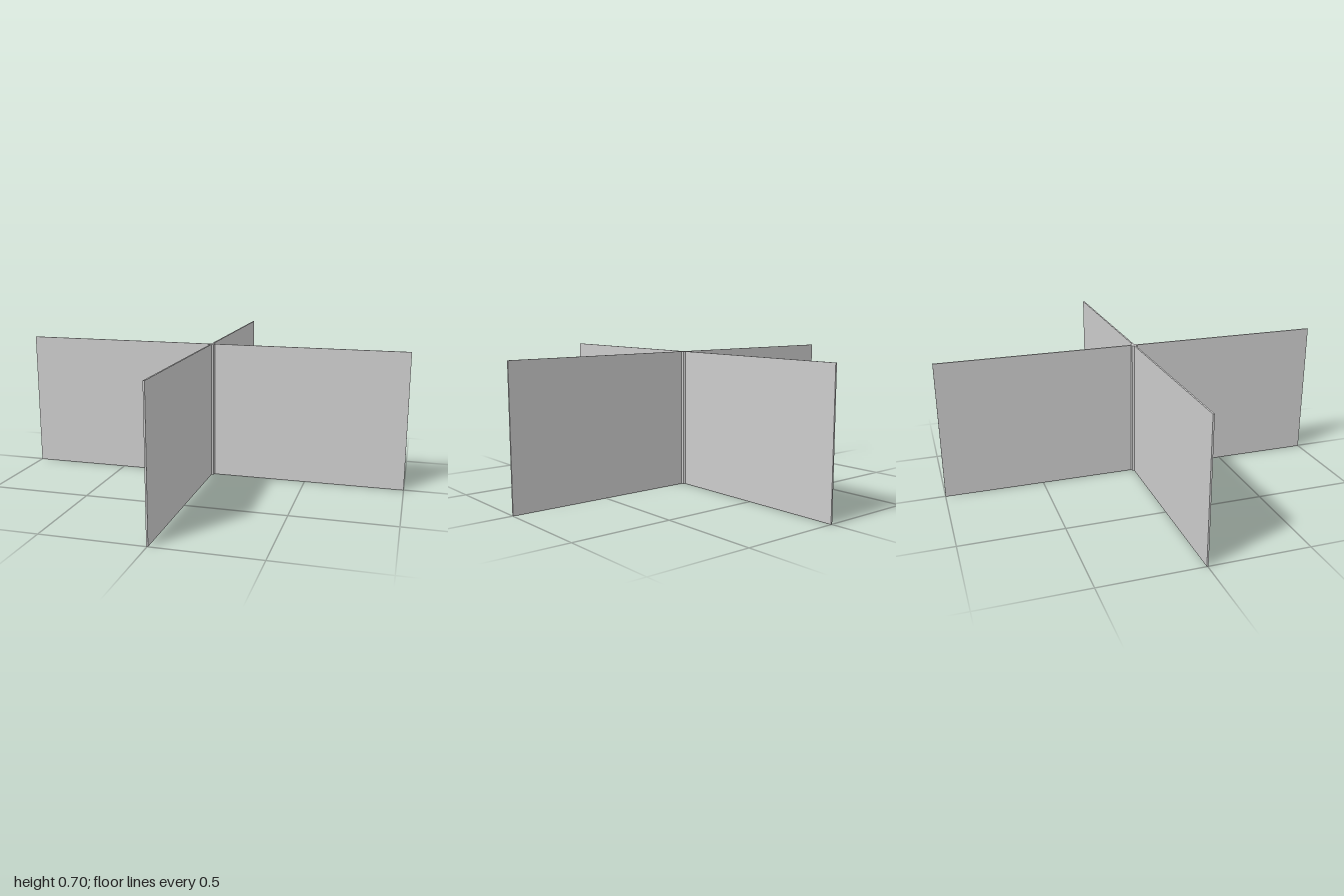
import * as THREE from 'three';

const HEIGHT = 0.7;
const THICKNESS = 0.008;
const POST_RADIUS = 0.02;

export function createModel() {
  const model = new THREE.Group();
  model.name = 'crossedPanels';
  const material = new THREE.MeshStandardMaterial({ color: 0xcccccc, flatShading: true });

  // Slim faceted post where the panels meet
  const post = new THREE.Mesh(
    new THREE.CylinderGeometry(POST_RADIUS, POST_RADIUS, HEIGHT, 8),
    material
  );
  post.name = 'centrePost';
  post.position.y = HEIGHT / 2;
  model.add(post);

  // Four thin panels radiating from the post
  const panelGeometry = new THREE.BoxGeometry(1, HEIGHT, THICKNESS);
  panelGeometry.translate(0.5, HEIGHT / 2, 0);
  ['leftPanel', 'backPanel', 'rightPanel', 'frontPanel'].forEach((name, i) => {
    const panel = new THREE.Mesh(panelGeometry, material);
    panel.name = name;
    panel.rotation.y = (i * Math.PI) / 2;
    model.add(panel);
  });

  return model;
}
